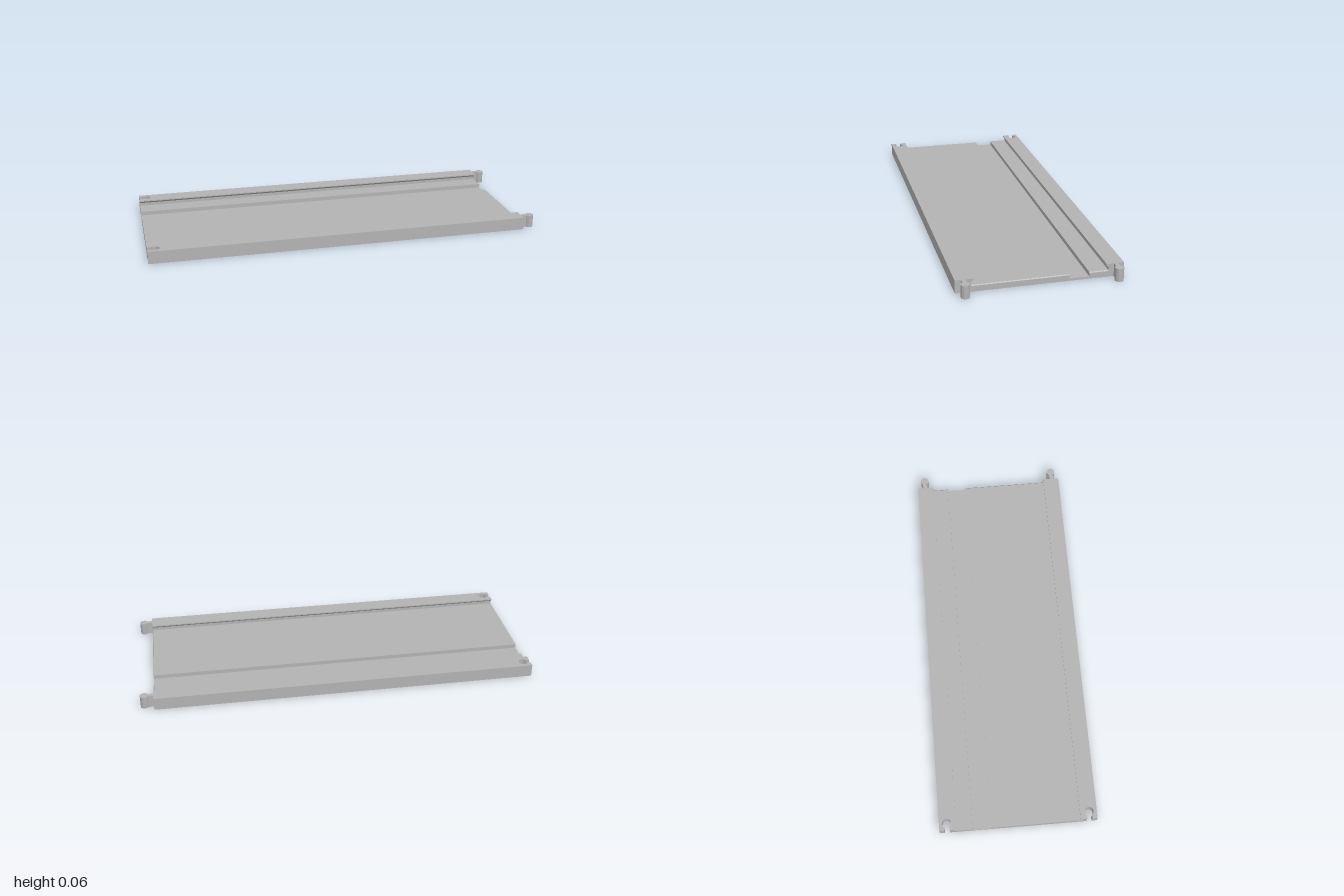
import * as THREE from 'three';
import { toCreasedNormals } from 'three/addons/utils/BufferGeometryUtils.js';

const X0 = -1, X1 = 0.934;             // body ends
const RAIL_H = 0.064, BED_H = 0.032, GROOVE_H = 0.011;
const OUTER = 0.398, INNER = 0.323, LIP = 0.313;
const JOINT_Z = 0.359;                 // centre line of tabs and sockets

export function createModel() {
  const group = new THREE.Group();
  const grey = new THREE.MeshStandardMaterial({ color: 0xb3b3b3 });
  grey.name = 'grey plastic';

  const add = (name, geometry) => {
    const mesh = new THREE.Mesh(toCreasedNormals(geometry, 0.5), grey);
    mesh.name = name;
    group.add(mesh);
    return mesh;
  };
  const extrude = (shape, depth) =>
    new THREE.ExtrudeGeometry(shape, { depth, bevelEnabled: false, curveSegments: 32 });

  // Edge rail outline seen from above: round socket at -x, round tab at +x
  const railGeometry = (side) => {
    const y = (z) => -side * z;
    const arc = (s, cx, r, from, to) => {
      for (let i = 0; i <= 28; i++) {
        const a = from + (to - from) * i / 28;
        s.lineTo(cx + r * Math.cos(a), y(JOINT_Z + r * Math.sin(a)));
      }
    };
    const neckS = 0.013, rS = 0.023, aS = Math.PI - Math.asin(neckS / rS);
    const neckT = 0.010, rT = 0.021, aT = Math.PI - Math.asin(neckT / rT);
    const s = new THREE.Shape();
    s.moveTo(X0, y(INNER));
    s.lineTo(X1, y(INNER));
    s.lineTo(X1, y(JOINT_Z - neckT));
    arc(s, 1 - rT, rT, -aT, aT);
    s.lineTo(X1, y(JOINT_Z + neckT));
    s.lineTo(X1, y(OUTER));
    s.lineTo(X0, y(OUTER));
    s.lineTo(X0, y(JOINT_Z + neckS));
    arc(s, -0.964, rS, aS, -aS);
    s.lineTo(X0, y(JOINT_Z - neckS));
    s.closePath();
    return extrude(s, RAIL_H).rotateX(-Math.PI / 2);
  };

  // Overhanging lip along the inner top edge of a rail
  const lipGeometry = (side) => {
    const points = [[INNER, RAIL_H], [LIP, RAIL_H], [LIP, 0.058], [INNER, 0.048]];
    const s = new THREE.Shape(points.map(([z, y]) => new THREE.Vector2(-side * z, y)));
    return extrude(s, X1 - X0).rotateY(Math.PI / 2).translate(X0, 0, 0);
  };

  for (const [side, label] of [[1, 'front'], [-1, 'back']]) {
    add(label + 'Rail', railGeometry(side));
    add(label + 'RailLip', lipGeometry(side));
  }

  // Flat bed strips, with a fine chamfer at the tab end
  const strip = (name, zMin, zMax, h, chamfer) => {
    const s = new THREE.Shape();
    s.moveTo(X0, 0);
    s.lineTo(X1, 0);
    s.lineTo(X1, h - chamfer);
    if (chamfer) s.lineTo(X1 - chamfer, h);
    s.lineTo(X0, h);
    s.closePath();
    add(name, extrude(s, zMax - zMin).translate(0, 0, zMin));
  };
  strip('mainBed', -0.137, INNER, BED_H, 0.004);
  strip('grooveFloor', -0.231, -0.137, GROOVE_H, 0);
  strip('backBed', -INNER, -0.231, BED_H, 0.004);

  return group;
}
